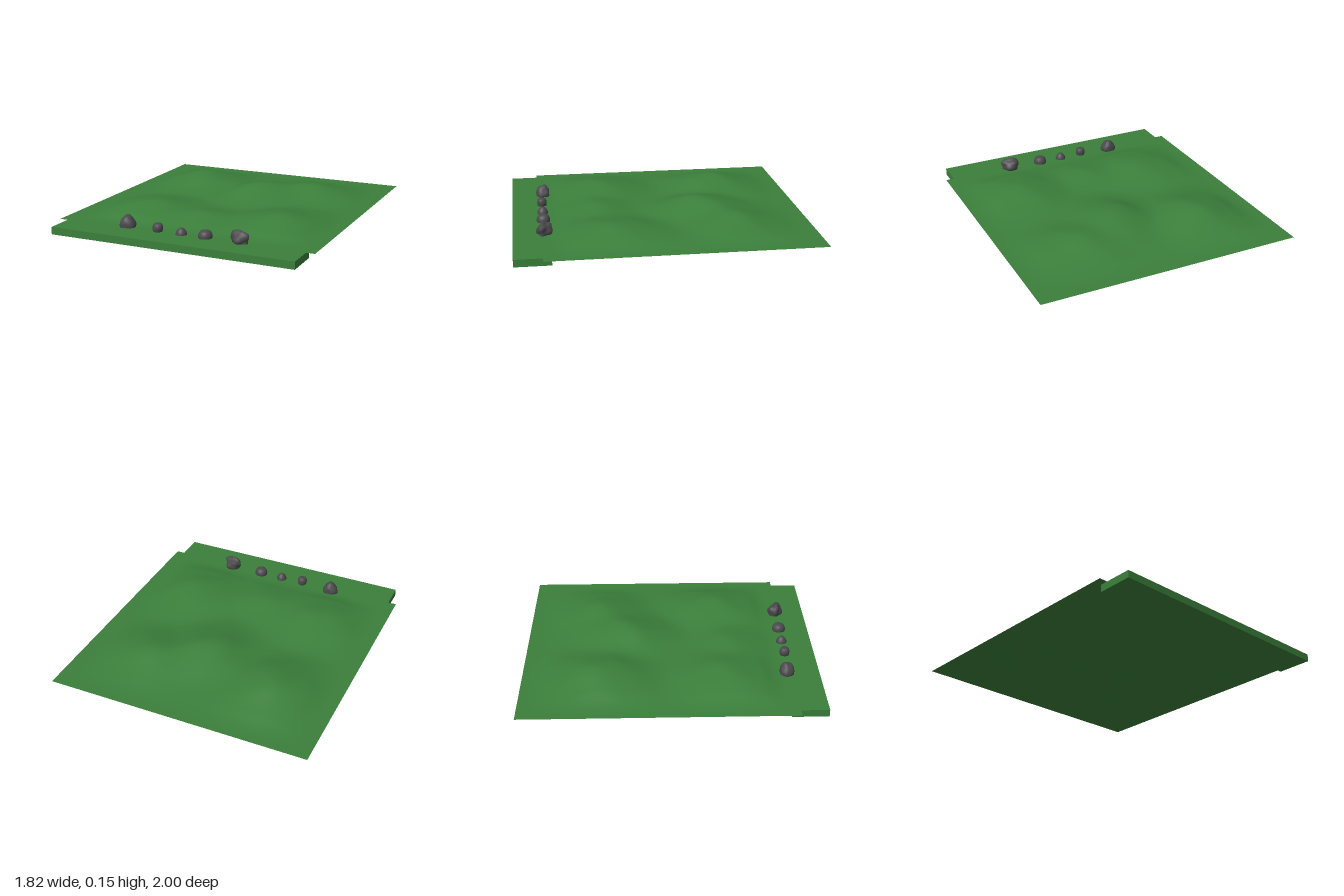
import * as THREE from 'three';
import { mergeVertices } from 'three/addons/utils/BufferGeometryUtils.js';

const grass = new THREE.MeshStandardMaterial({ color: 0x3b7f3b, side: THREE.DoubleSide });
grass.name = 'grass green';
const stone = new THREE.MeshStandardMaterial({ color: 0x4b494d });
stone.name = 'dark stone';

const GROUND = 0.05;

// Hills: x, z, height, x spread, z spread
const HILLS = [
  [-0.45, -0.47, 0.096, 0.27, 0.29],
  [0.08, -0.3, 0.1, 0.24, 0.28],
  [0.4, -0.48, 0.082, 0.29, 0.25],
  [-0.45, 0.36, 0.074, 0.28, 0.29],
  [0.48, 0.34, 0.076, 0.27, 0.3],
  [-0.03, 0.42, 0.05, 0.25, 0.22],
];

function hillHeight(x, z) {
  let h = 0;
  for (const [cx, cz, height, sx, sz] of HILLS) {
    const bump = height * Math.exp(-(((x - cx) / sx) ** 2) - ((z - cz) / sz) ** 2);
    h = Math.hypot(h, bump); // soft union keeps peaks from piling up
  }
  // gentle ripples, and a fade to flat ground at the borders
  h *= 1 + 0.05 * Math.sin(x * 17 + z * 5) * Math.cos(z * 15 - x * 4);
  const fade = THREE.MathUtils.smoothstep(0.88 - Math.abs(x), 0, 0.2)
    * THREE.MathUtils.smoothstep(0.76 - z, 0, 0.16)
    * THREE.MathUtils.smoothstep(z + 0.97, 0, 0.2);
  return h * fade;
}

function makeTerrain() {
  const geometry = new THREE.PlaneGeometry(1.815, 1.815, 72, 72);
  geometry.rotateX(-Math.PI / 2).translate(0, GROUND, -0.0925);
  const p = geometry.attributes.position;
  for (let i = 0; i < p.count; i++) p.setY(i, GROUND + hillHeight(p.getX(i), p.getZ(i)));
  geometry.computeVertexNormals();
  return new THREE.Mesh(geometry, grass);
}

// Stone: a ball pushed in and out by waves; square > 0 makes it blockier
function makeRock({ name, at, size, turn = 0, rough = 0, seed = 0, square = 0, taper = 0 }) {
  let geometry = new THREE.IcosahedronGeometry(1, 4);
  geometry.deleteAttribute('normal');
  geometry.deleteAttribute('uv');
  geometry = mergeVertices(geometry, 1e-4);
  const p = geometry.attributes.position;
  const v = new THREE.Vector3();
  for (let i = 0; i < p.count; i++) {
    v.fromBufferAttribute(p, i);
    const wave = Math.sin(v.x * 4.1 + seed) * Math.cos(v.y * 3.7 - seed * 2)
      + 0.7 * Math.sin(v.z * 5.3 + v.x * 2 + seed * 3) + 0.4 * Math.cos(v.y * 7 + v.z * 4 + seed);
    const block = 1 / Math.max(Math.hypot(v.x, v.z), Math.abs(v.y));
    v.multiplyScalar((1 + rough * wave) * (1 + square * (block - 1)));
    const narrow = 1 - taper * v.y;
    p.setXYZ(i, v.x * narrow, v.y, v.z * narrow);
  }
  geometry.scale(...size);
  geometry.computeVertexNormals();
  const rock = new THREE.Mesh(geometry, stone);
  rock.name = name;
  rock.position.set(...at);
  rock.rotation.y = turn;
  return rock;
}

const ROCKS = [
  { name: 'farRightRock', at: [-0.405, 0.07, 0.778], size: [0.053, 0.058, 0.05], rough: 0.06, seed: 1.3, taper: 0.15 },
  { name: 'rightRock', at: [-0.172, 0.072, 0.793], size: [0.034, 0.033, 0.034], rough: 0.02, seed: 2, square: 0.4 },
  { name: 'middleRock', at: [-0.003, 0.056, 0.792], size: [0.036, 0.04, 0.037], taper: 0.2 },
  { name: 'leftRock', at: [0.167, 0.06, 0.792], size: [0.046, 0.042, 0.046], rough: 0.01, seed: 3, square: 0.15 },
  { name: 'farLeftRock', at: [0.408, 0.075, 0.795], size: [0.064, 0.055, 0.048], turn: -0.4, rough: 0.13, seed: 4.4 },
];

export function createModel() {
  const model = new THREE.Group();
  model.name = 'hillyGround';

  const terrain = makeTerrain();
  terrain.name = 'hills';
  model.add(terrain);

  // Raised strip along the front edge
  const ledge = new THREE.Mesh(new THREE.BoxGeometry(1.7, 0.05, 0.24), grass);
  ledge.name = 'frontLedge';
  ledge.position.set(0, 0.025, 0.88);
  model.add(ledge);

  for (const rock of ROCKS) model.add(makeRock(rock));
  return model;
}
